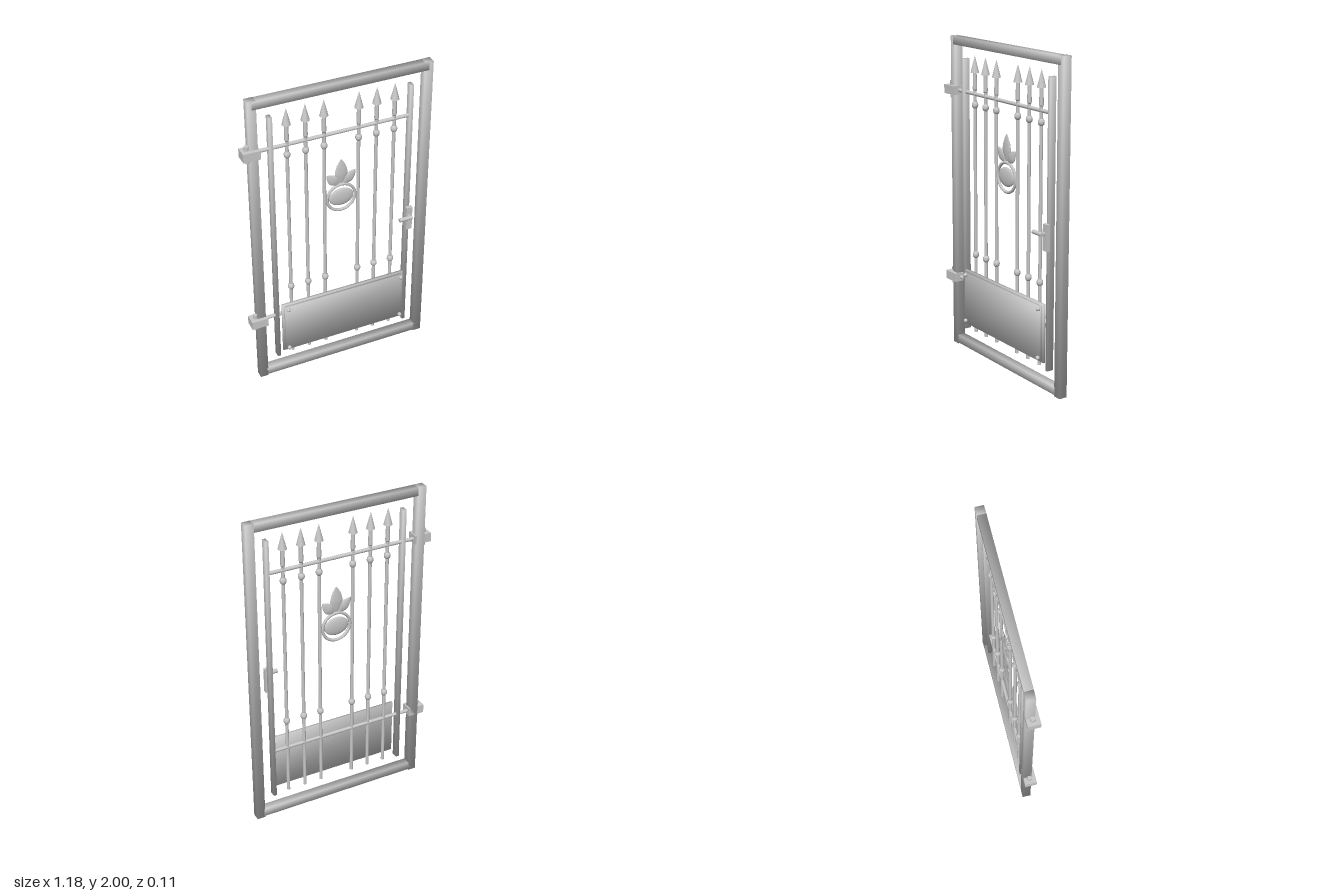
import * as THREE from 'three';

const steel = new THREE.MeshStandardMaterial({ color: 0xc8c8c8 });
steel.name = 'grey steel';

export function createModel() {
  const gate = new THREE.Group();
  gate.name = 'gate';

  const add = (name, geometry, x, y, z, parent = gate) => {
    const mesh = new THREE.Mesh(geometry, steel);
    mesh.name = name;
    mesh.position.set(x, y, z);
    parent.add(mesh);
    return mesh;
  };

  // Box given by its extents; soft boxes share one normal per corner
  const box = (name, [x0, x1], [y0, y1], [z0, z1], soft = false, parent = gate) => {
    const geometry = new THREE.BoxGeometry(x1 - x0, y1 - y0, z1 - z0);
    if (soft) {
      const p = geometry.attributes.position, n = geometry.attributes.normal;
      const v = new THREE.Vector3();
      for (let i = 0; i < p.count; i++) {
        v.set(Math.sign(p.getX(i)), Math.sign(p.getY(i)), Math.sign(p.getZ(i))).normalize();
        n.setXYZ(i, v.x, v.y, v.z);
      }
    }
    return add(name, geometry, (x0 + x1) / 2, (y0 + y1) / 2, (z0 + z1) / 2, parent);
  };

  // Outer frame
  const depth = [-0.055, -0.003];
  box('leftFramePost', [0.535, 0.587], [0, 2], depth, true);
  box('rightFramePost', [-0.547, -0.495], [0, 2], depth, true);
  box('topBeam', [-0.52, 0.56], [1.948, 1.999], [-0.054, -0.002], true);
  box('bottomBeam', [-0.5, 0.54], [0.008, 0.06], depth, true);

  // Leaf stiles and round cross rails
  const barZ = -0.025;
  box('rightStile', [-0.426, -0.405], [0.132, 1.873], [-0.045, -0.003], true);
  box('leftStile', [0.447, 0.467], [0.132, 1.873], [-0.045, -0.003], true);
  for (const y of [0.455, 1.667]) {
    add('crossRail', new THREE.CylinderGeometry(0.011, 0.011, 0.96, 16), -0.017, y, barZ)
      .rotation.z = Math.PI / 2;

    // Hinge block with its upright pin
    const hinge = new THREE.Group();
    hinge.name = 'hinge';
    gate.add(hinge);
    box('hingeBlock', [-0.592, -0.487], [y - 0.027, y + 0.028], [-0.055, 0.02], false, hinge);
    add('hingePin', new THREE.CylinderGeometry(0.014, 0.014, 0.108, 20), -0.558, y, -0.019, hinge);
  }

  // Spear-topped bars with two knobs each
  const spear = new THREE.LatheGeometry(
    [[0, 1.69], [0.011, 1.69], [0.014, 1.7], [0.011, 1.8]].map(([r, y]) => new THREE.Vector2(r, y)), 16);
  for (const x of [-0.315, -0.201, -0.087, 0.13, 0.243, 0.357]) {
    const bar = new THREE.Group();
    bar.name = 'spearBar';
    bar.position.set(x, 0, barZ);
    gate.add(bar);
    add('rod', new THREE.CylinderGeometry(0.0105, 0.0105, 1.565, 14), 0, 0.9175, 0, bar);
    add('spearNeck', spear, 0, 0, 0, bar);
    add('spearTip', new THREE.ConeGeometry(0.026, 0.105, 20), 0, 1.85, 0, bar);
    for (const y of [0.65, 1.6]) {
      add('knob', new THREE.SphereGeometry(0.02, 16, 12), 0, y, 0, bar).scale.y = 1.2;
    }
  }

  // Fruit ornament: ring, oval boss and three leaves
  const ornament = new THREE.Group();
  ornament.name = 'fruitOrnament';
  ornament.position.set(0.02, 1.213, barZ);
  gate.add(ornament);
  add('ring', new THREE.TorusGeometry(0.09, 0.009, 12, 48), 0, 0, 0, ornament);
  add('fruit', new THREE.SphereGeometry(1, 32, 20), 0, 0.003, 0, ornament)
    .scale.set(0.079, 0.059, 0.015);
  const leafProfile = [[0, 0], [0.55, 0.18], [0.93, 0.36], [1, 0.48], [0.8, 0.68], [0.4, 0.88], [0, 1]]
    .map(([r, y]) => new THREE.Vector2(r, y));
  const leafGeometry = new THREE.LatheGeometry(leafProfile, 20);
  const leaves = [
    ['middleLeaf', 0, 0.088, 0.041, 0.178, 0],
    ['rightLeaf', -0.012, 0.088, 0.033, 0.118, 0.76],
    ['leftLeaf', 0.012, 0.088, 0.033, 0.118, -0.76],
  ];
  for (const [name, x, y, width, length, turn] of leaves) {
    const leaf = add(name, leafGeometry, x, y, 0, ornament);
    leaf.scale.set(width, length, 0.01);
    leaf.rotation.z = turn;
  }

  // Lower panel: backing plate, raised sheet and corner rivets
  box('panelBacking', [-0.389, 0.436], [0.175, 0.54], [-0.008, 0.004], true);
  box('panelSheet', [-0.375, 0.421], [0.188, 0.526], [0.004, 0.02], true);
  for (const x of [-0.357, 0.412]) {
    for (const y of [0.207, 0.512]) {
      add('rivet', new THREE.SphereGeometry(0.013, 16, 12), x, y, 0.028);
    }
  }

  // Lock plate and lever handle
  box('lockPlate', [0.44, 0.478], [0.873, 1.032], [-0.003, 0.02]);
  add('handleSpindle', new THREE.CylinderGeometry(0.01, 0.01, 0.03, 16), 0.455, 0.975, 0.028)
    .rotation.x = Math.PI / 2;
  add('handleLever', new THREE.CylinderGeometry(0.0125, 0.0125, 0.085, 20), 0.422, 0.975, 0.042)
    .rotation.z = Math.PI / 2;

  return gate;
}
